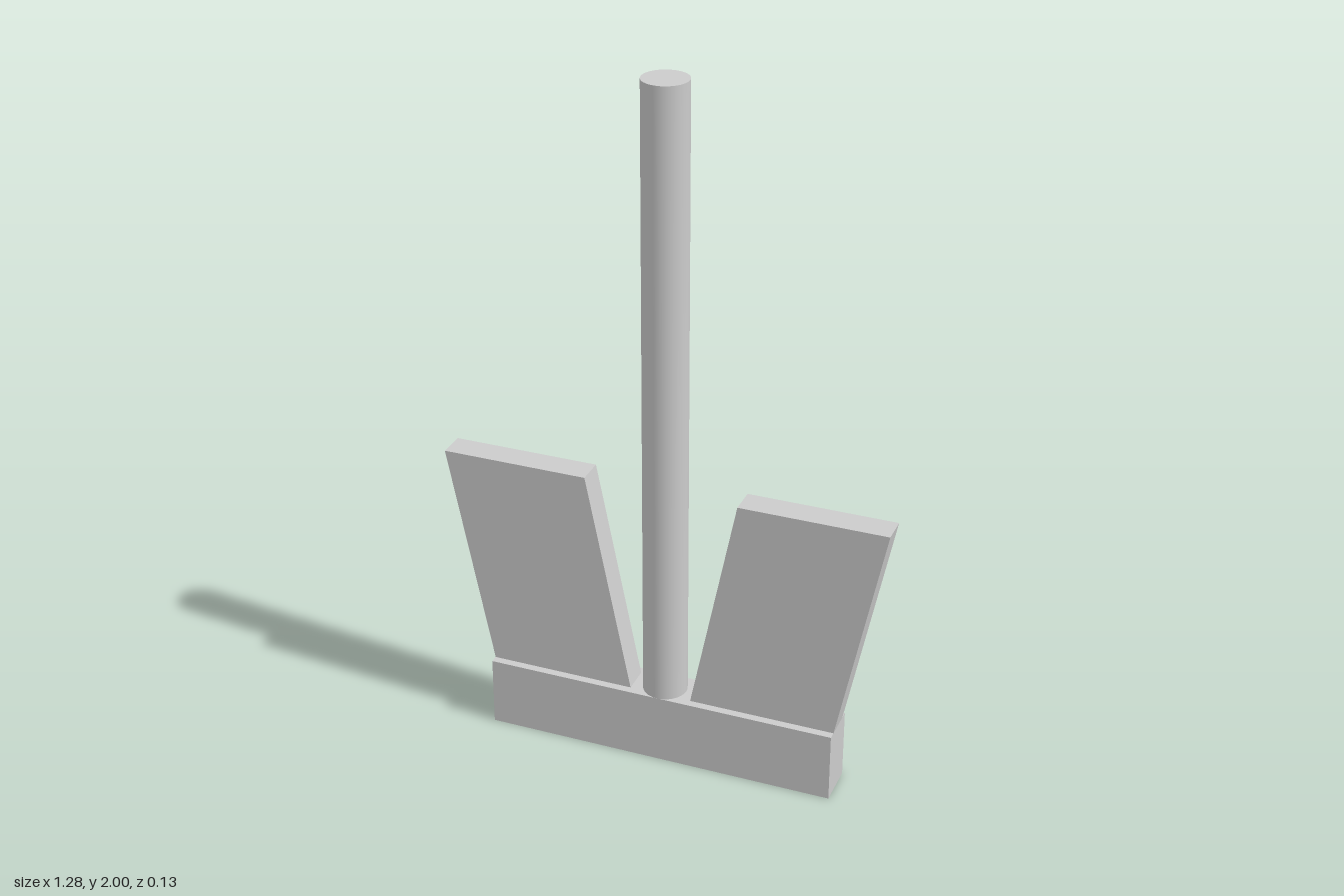
import * as THREE from 'three';

const BASE_TOP = 0.205;

export function createModel() {
  const model = new THREE.Group();
  const material = new THREE.MeshStandardMaterial({ color: 0xcccccc });

  const add = (name, geometry, y = 0) => {
    const mesh = new THREE.Mesh(geometry, material);
    mesh.name = name;
    mesh.position.y = y;
    model.add(mesh);
  };

  // Crossbar at the foot
  add('crossbar', new THREE.BoxGeometry(1.02, BASE_TOP, 0.126), BASE_TOP / 2);

  // Upright round shank
  const shankHeight = 2 - BASE_TOP;
  add('shank', new THREE.CylinderGeometry(0.063, 0.063, shankHeight, 48), BASE_TOP + shankHeight / 2);

  // Flat flukes: boxes sheared outwards as they rise
  const flukeHeight = 0.65;
  for (const [name, side] of [['leftFluke', 1], ['rightFluke', -1]]) {
    const fluke = new THREE.BoxGeometry(0.42, flukeHeight, 0.08);
    const shear = new THREE.Matrix4().set(
      1, side * 0.13 / flukeHeight, 0, side * 0.365,
      0, 1, 0, 0,
      0, 0, 1, 0,
      0, 0, 0, 1
    );
    fluke.applyMatrix4(shear);
    add(name, fluke, BASE_TOP + flukeHeight / 2);
  }

  return model;
}
